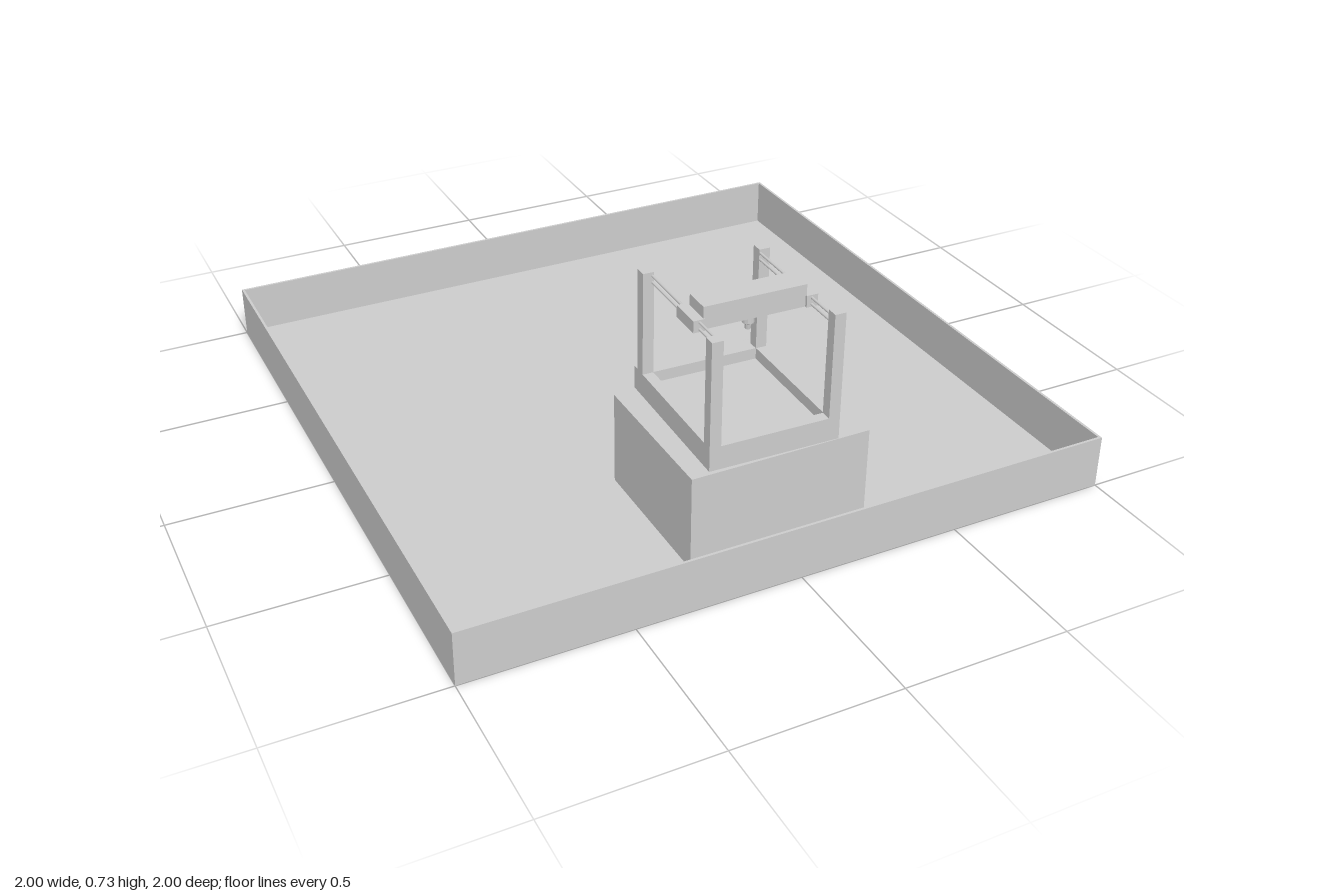
import * as THREE from 'three';

export function createModel() {
  const grey = new THREE.MeshStandardMaterial({ color: 0xcccccc });
  const blue = new THREE.MeshStandardMaterial({ color: 0x0000cc });
  const model = new THREE.Group();
  model.name = 'printerOnTray';

  const add = (parent, name, geometry, material = grey) => {
    const mesh = new THREE.Mesh(geometry, material);
    mesh.name = name;
    parent.add(mesh);
    return mesh;
  };
  // Box given by its extents on each axis
  const box = (parent, name, [x0, x1], [y0, y1], [z0, z1], material) => {
    const mesh = add(parent, name, new THREE.BoxGeometry(x1 - x0, y1 - y0, z1 - z0), material);
    mesh.position.set((x0 + x1) / 2, (y0 + y1) / 2, (z0 + z1) / 2);
    return mesh;
  };
  // Upright rectangular frame: outer and inner extents in x and z
  const frame = (parent, name, [ox0, ox1, oz0, oz1], [ix0, ix1, iz0, iz1], y0, y1) => {
    const outline = (path, a, b, c, d) =>
      path.moveTo(a, -d).lineTo(b, -d).lineTo(b, -c).lineTo(a, -c).closePath();
    const shape = outline(new THREE.Shape(), ox0, ox1, oz0, oz1);
    shape.holes.push(outline(new THREE.Path(), ix0, ix1, iz0, iz1));
    const geometry = new THREE.ExtrudeGeometry(shape, { depth: y1 - y0, bevelEnabled: false });
    geometry.rotateX(-Math.PI / 2).translate(0, y0, 0);
    return add(parent, name, geometry);
  };

  // Shallow open tray
  box(model, 'trayFloor', [-0.995, 0.995], [0, 0.008], [-0.995, 0.995]);
  frame(model, 'trayWalls', [-1, 1, -1, 1], [-0.992, 0.992, -0.992, 0.992], 0, 0.165);

  // Block the machine stands on
  box(model, 'plinth', [-0.26, 0.295], [0.008, 0.3], [0.365, 0.845]);

  // Machine, turned slightly; local origin at the middle of its base
  const machine = new THREE.Group();
  machine.name = 'printer';
  machine.position.set(-0.003, 0, 0.61);
  machine.rotation.y = -0.026;
  model.add(machine);

  // Base with sunken bed
  frame(machine, 'baseRim', [-0.198, 0.198, -0.24, 0.238], [-0.165, 0.165, -0.185, 0.205], 0.308, 0.38);
  box(machine, 'bed', [-0.166, 0.166], [0.309, 0.345], [-0.186, 0.206]);

  // Posts, rod clamps and paired guide rods on each side
  for (const side of [-1, 1]) {
    for (const z of [-0.201, 0.221]) {
      box(machine, 'post', [side * 0.181 - 0.017, side * 0.181 + 0.017], [0.379, 0.7], [z - 0.017, z + 0.017]);
    }
    for (const y of [0.668, 0.688]) {
      const rod = add(machine, 'guideRod', new THREE.CylinderGeometry(0.004, 0.004, 0.43, 10));
      rod.rotation.x = Math.PI / 2;
      rod.position.set(side * 0.168, y, 0.01);
    }
    box(machine, 'rodSlider', [side * 0.17 - 0.017, side * 0.17 + 0.017], [0.66, 0.696], [0.008, 0.108]);
  }

  // Moving gantry with print head
  box(machine, 'gantryBeam', [-0.154, 0.154], [0.66, 0.694], [0.015, 0.1]);
  box(machine, 'gantryCover', [-0.156, 0.154], [0.694, 0.73], [0.022, 0.104]);
  const nozzle = add(machine, 'nozzle', new THREE.LatheGeometry(
    [[0, 0.61], [0.008, 0.61], [0.01, 0.625], [0.017, 0.63], [0.017, 0.655], [0.014, 0.661]]
      .map(([r, y]) => new THREE.Vector2(r, y)), 12));
  nozzle.material = new THREE.MeshStandardMaterial({ color: 0xcccccc, flatShading: true });
  nozzle.position.set(0, 0, 0.062);

  // Controls on the back of the base
  for (const [x0, x1, y0, y1] of [
    [0.155, 0.192, 0.313, 0.376], [0.105, 0.135, 0.33, 0.36],
    [0.05, 0.085, 0.325, 0.365], [-0.075, -0.02, 0.32, 0.368],
  ]) box(machine, 'backPanelPlate', [x0, x1], [y0, y1], [-0.246, -0.239]);
  const knob = add(machine, 'knob', new THREE.CylinderGeometry(0.019, 0.019, 0.016, 16));
  knob.rotation.x = Math.PI / 2;
  knob.position.set(0.173, 0.35, -0.253);

  // Printed piece on the bed
  box(machine, 'printedPiece', [0.0, 0.018], [0.345, 0.43], [-0.143, -0.125], blue);

  return model;
}
